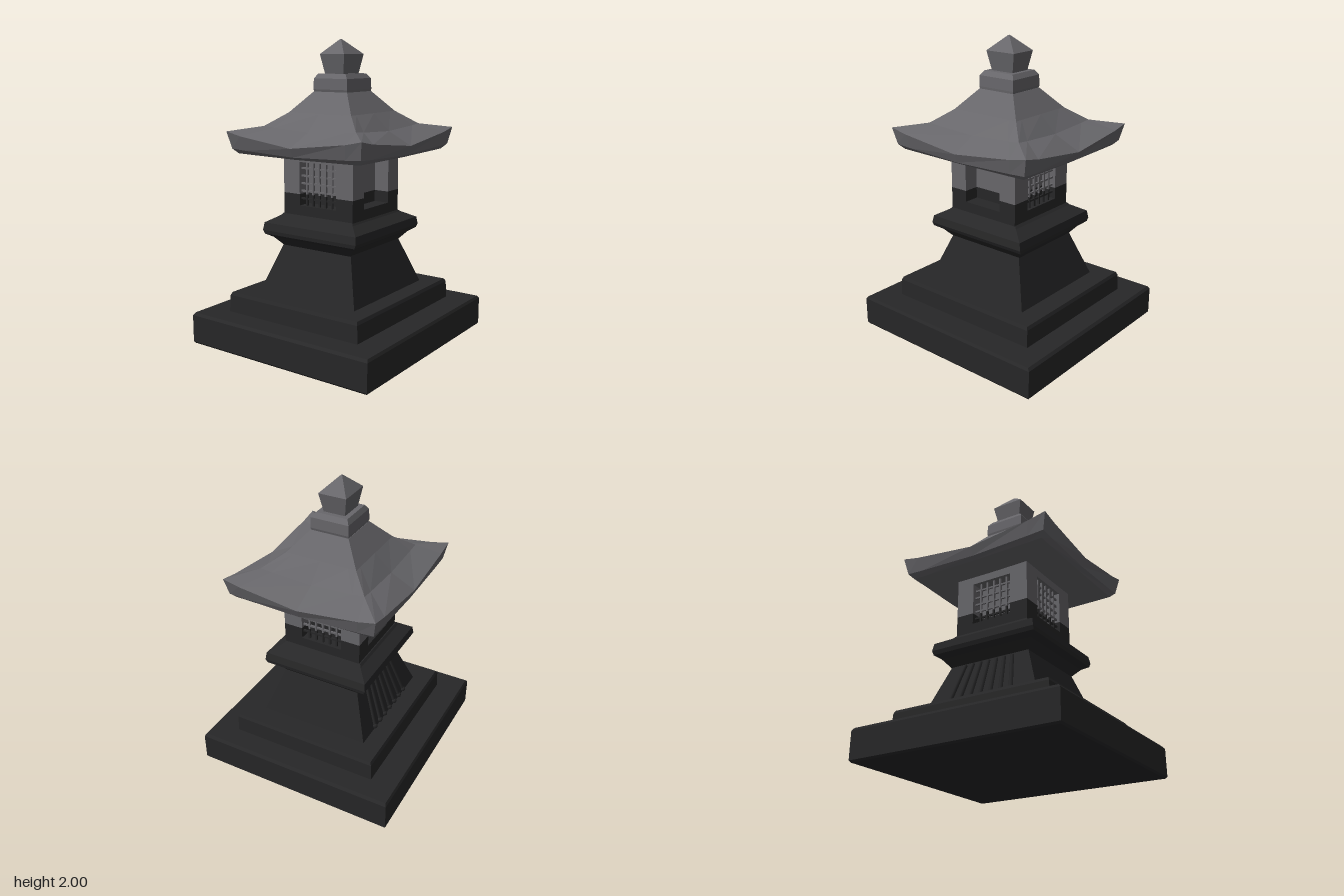
import * as THREE from 'three';

const lightStone = new THREE.MeshStandardMaterial({ color: 0x68676b });
lightStone.name = 'light stone';
const darkStone = new THREE.MeshStandardMaterial({ color: 0x272728 });
darkStone.name = 'dark stone';

// Square loft from bottom to top. Ring: [halfX, halfZ, y, centreX, centreZ, cornerLift]
function loft(name, material, rings, ts = [-1]) {
  const loops = rings.map(([hx, hz, y, cx = 0, cz = 0, lift = 0]) => {
    const pts = [];
    for (let side = 0; side < 4; side++) {
      for (const t of ts) {
        const [u, v] = [[t, 1], [1, -t], [-t, -1], [-1, t]][side];
        pts.push(new THREE.Vector3(cx + u * hx, y + lift * Math.abs(t) ** 1.6, cz + v * hz));
      }
    }
    return pts;
  });
  const out = [];
  const tri = (...ps) => ps.forEach((p) => out.push(p));
  const n = loops[0].length;
  for (let i = 0; i < loops.length - 1; i++) {
    for (let j = 0; j < n; j++) {
      const k = (j + 1) % n;
      tri(loops[i][j], loops[i][k], loops[i + 1][k]);
      tri(loops[i][j], loops[i + 1][k], loops[i + 1][j]);
    }
  }
  const centre = ([, , y, cx = 0, cz = 0]) => new THREE.Vector3(cx, y, cz);
  const bottom = centre(rings[0]);
  const top = centre(rings[rings.length - 1]);
  const last = loops[loops.length - 1];
  for (let j = 0; j < n; j++) {
    const k = (j + 1) % n;
    tri(bottom, loops[0][k], loops[0][j]);
    tri(top, last[j], last[k]);
  }
  const geo = new THREE.BufferGeometry().setFromPoints(out);
  geo.computeVertexNormals();
  const mesh = new THREE.Mesh(geo, material);
  mesh.name = name;
  return mesh;
}

function box(name, material, w, h, d, x, y, z) {
  const mesh = new THREE.Mesh(new THREE.BoxGeometry(w, h, d), material);
  mesh.position.set(x, y, z);
  mesh.name = name;
  return mesh;
}

// Upright piece that changes stone at the colour line
const SPLIT = 1.005;
function splitUpright(group, name, w, d, y0, y1, x, z) {
  group.add(box(name + 'Lower', darkStone, w, SPLIT - y0, d, x, (y0 + SPLIT) / 2, z));
  group.add(box(name + 'Upper', lightStone, w, y1 - SPLIT, d, x, (y1 + SPLIT) / 2, z));
}

// Lattice filling one window, built facing +z
function lattice() {
  const g = new THREE.Group();
  g.name = 'windowLattice';
  for (let i = -2; i <= 2; i++) {
    splitUpright(g, 'latticeBar', 0.012, 0.014, 0.92, 1.225, i * 0.05, 0.245);
    const y = 1.075 + i * 0.05;
    g.add(box('latticeRail', y < SPLIT ? darkStone : lightStone, 0.3, 0.012, 0.012, 0, y, 0.243));
  }
  return g;
}

export function createModel() {
  const model = new THREE.Group();
  model.name = 'stoneLantern';

  // Stepped base
  model.add(loft('basePlinth', darkStone, [
    [0.71, 0.685, 0], [0.72, 0.695, 0.012], [0.72, 0.695, 0.195], [0.705, 0.685, 0.212],
  ]));
  model.add(loft('upperStep', darkStone, [
    [0.56, 0.515, 0.2, 0.005], [0.555, 0.51, 0.325, 0.005], [0.545, 0.5, 0.345, 0.005],
  ]));

  // Tapered pedestal and moulded collar
  model.add(loft('pedestal', darkStone, [
    [0.405, 0.382, 0.34, 0.01], [0.285, 0.27, 0.66, 0.012],
  ]));
  model.add(loft('collar', darkStone, [
    [0.285, 0.265, 0.645, 0.012], [0.335, 0.32, 0.705, 0.012], [0.375, 0.36, 0.73, 0.01],
    [0.38, 0.372, 0.755, 0.01], [0.37, 0.365, 0.805, 0.01], [0.285, 0.29, 0.85, 0.005],
    [0.268, 0.277, 0.865, 0.003],
  ]));

  // Fanned ribs with rounded feet on the back of the pedestal
  const ribs = new THREE.Group();
  ribs.name = 'pedestalRibs';
  for (let i = -3; i <= 3; i++) {
    const foot = new THREE.Vector3(0.01 + i * 0.075, 0.36, -0.377);
    const head = new THREE.Vector3(0.01 + i * 0.058, 0.64, -0.279);
    const rib = new THREE.Mesh(
      new THREE.CylinderGeometry(0.013, 0.015, foot.distanceTo(head), 6), darkStone);
    rib.name = 'rib';
    rib.position.copy(foot).lerp(head, 0.5);
    rib.quaternion.setFromUnitVectors(new THREE.Vector3(0, 1, 0), head.clone().sub(foot).normalize());
    const knob = new THREE.Mesh(new THREE.SphereGeometry(0.02, 8, 6), darkStone);
    knob.name = 'ribFoot';
    knob.position.copy(foot);
    ribs.add(rib, knob);
  }
  model.add(ribs);

  // Light chamber: core, corner posts, sill and lintel leave a niche on each side
  const chamber = new THREE.Group();
  chamber.name = 'lightChamber';
  chamber.position.set(0.003, 0, 0.005);
  splitUpright(chamber, 'chamberCore', 0.34, 0.34, 0.9, 1.25, 0, 0);
  for (const sx of [-1, 1]) {
    for (const sz of [-1, 1]) {
      splitUpright(chamber, 'cornerPost', 0.125, 0.13, 0.93, 1.217, sx * 0.2065, sz * 0.21);
    }
  }
  chamber.add(box('sill', darkStone, 0.538, 0.09, 0.55, 0, 0.885, 0));
  chamber.add(box('lintel', lightStone, 0.538, 0.063, 0.55, 0, 1.2485, 0));
  for (const angle of [Math.PI / 2, Math.PI, -Math.PI / 2]) {
    const screen = lattice();
    screen.rotation.y = angle;
    chamber.add(screen);
  }
  model.add(chamber);

  // Sweeping roof with raised corners
  model.add(loft('roof', lightStone, [
    [0.495, 0.47, 1.268, 0.005, 0.01, 0.005],
    [0.525, 0.5, 1.285, 0.005, 0.01, 0.02],
    [0.552, 0.522, 1.342, 0.005, 0.01, 0.075],
    [0.37, 0.36, 1.425, 0.005, 0.01, 0.022],
    [0.255, 0.245, 1.533, 0.005, 0.01],
    [0.138, 0.132, 1.665, 0.005, 0.01],
  ], [-1, -0.78, 0, 0.78]));

  // Neck block and pointed finial
  model.add(loft('roofNeck', lightStone, [
    [0.132, 0.128, 1.65, 0.005, 0.012], [0.14, 0.133, 1.68, 0.005, 0.01],
    [0.138, 0.13, 1.75, 0.005, 0.01], [0.115, 0.108, 1.78, 0.003, 0.008],
  ]));
  model.add(loft('finial', lightStone, [
    [0.083, 0.072, 1.77, 0.003, 0.006], [0.112, 0.095, 1.905, 0.003, 0.006],
    [0.004, 0.004, 2, -0.003, 0.003],
  ]));
  return model;
}
